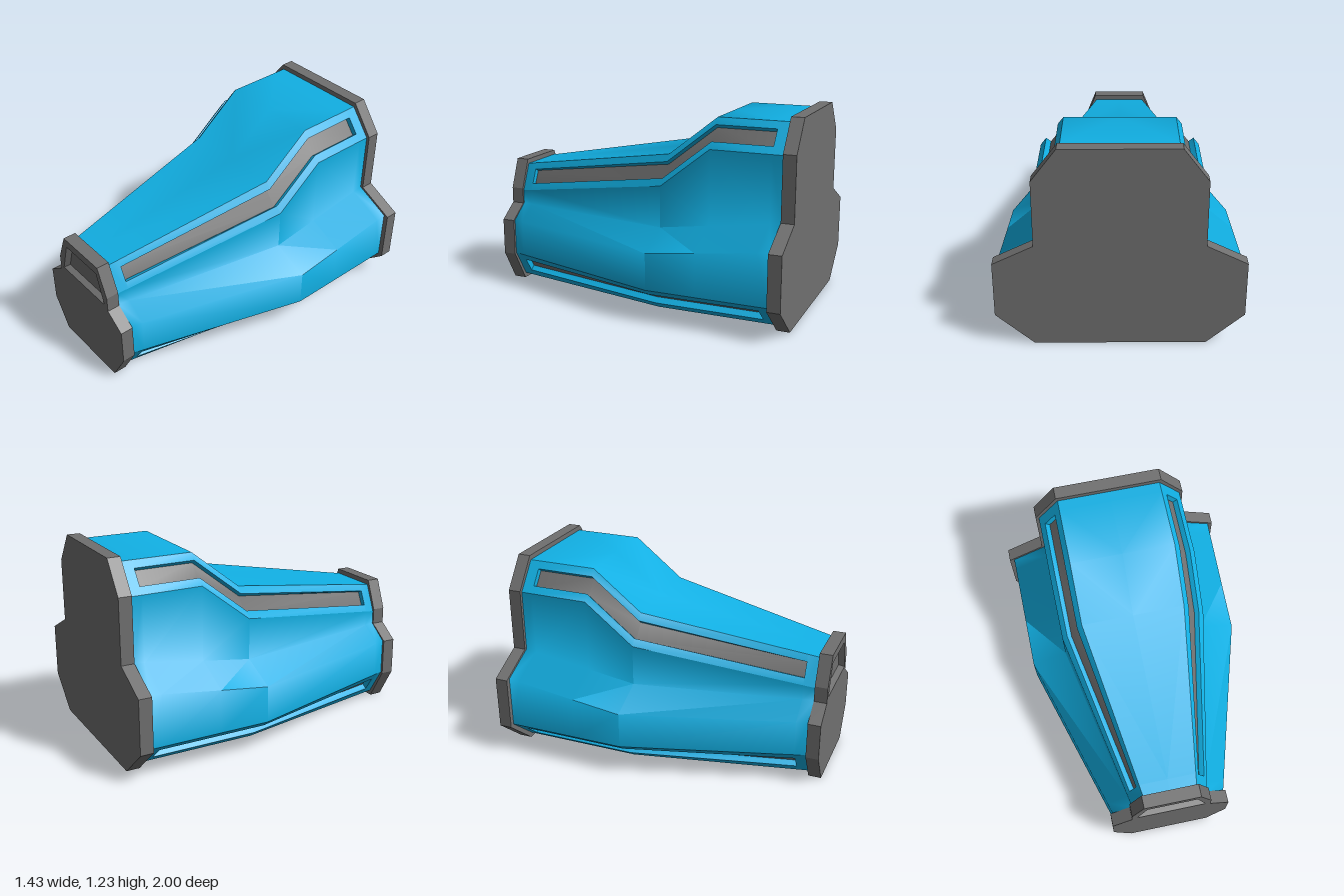
import * as THREE from 'three';
import { toCreasedNormals } from 'three/addons/utils/BufferGeometryUtils.js';

const blue = new THREE.MeshStandardMaterial({ color: 0x11b0e4 });
const grey = new THREE.MeshStandardMaterial({ color: 0x707070 });

// Half cross-sections from the top centre line round to the bottom centre line
const lower = (y2, y3) => [[0.46, y2], [0.685, y3], [0.685, 0.205], [0.48, 0.03], [0, 0.03]];
const upper = (top, side) => [[0, top], [0.325, top], [0.46, side]];
const keys = [
  { z: 0.92, p: [[0, 0.775], [0.165, 0.775], [0.24, 0.605], [0.24, 0.52], [0.36, 0.43], [0.36, 0.205], [0.25, 0.03], [0, 0.03]] },
  { z: -0.17, p: [...upper(0.955, 0.785), ...lower(0.53, 0.43)] },
  { z: -0.48, p: [...upper(1.2, 1.03), ...lower(0.575, 0.47)] },
  { z: -0.92, p: [...upper(1.2, 1.03), ...lower(0.64, 0.53)] },
];
const mix = (a, b, t) => [a[0] + (b[0] - a[0]) * t, a[1] + (b[1] - a[1]) * t];

function sectionAt(z) {
  let k = 0;
  while (k < keys.length - 2 && z < keys[k + 1].z) k++;
  const a = keys[k], b = keys[k + 1], t = (z - a.z) / (b.z - a.z);
  return a.p.map((p, i) => mix(p, b.p[i], t));
}

// Adds a quad and its mirror image
function quad(out, a, b, c, d) {
  out.push(...a, ...b, ...c, ...a, ...c, ...d);
  const m = ([x, y, z]) => [-x, y, z];
  out.push(...m(a), ...m(c), ...m(b), ...m(a), ...m(d), ...m(c));
}

function meshOf(name, positions, material, crease) {
  const g = new THREE.BufferGeometry();
  g.setAttribute('position', new THREE.Float32BufferAttribute(positions, 3));
  g.computeVertexNormals();
  const mesh = new THREE.Mesh(toCreasedNormals(g, crease), material);
  mesh.name = name;
  return mesh;
}

// Points across a chamfer: edge, groove lip, groove floor, groove lip, edge
function groovePoints(a, b, depth) {
  const dx = b[0] - a[0], dy = b[1] - a[1], l = Math.hypot(dx, dy);
  const sink = (p) => [p[0] + (dy / l) * depth, p[1] - (dx / l) * depth];
  const u = mix(a, b, 0.24), v = mix(a, b, 0.76);
  return [a, u, sink(u), sink(v), v, b];
}

function flange(name, half, z, hole) {
  const shape = new THREE.Shape([...half, ...half.map(([x, y]) => [-x, y]).reverse()].map((p) => new THREE.Vector2(...p)));
  if (hole) shape.holes.push(new THREE.Path(hole.map((p) => new THREE.Vector2(...p))));
  const g = new THREE.ExtrudeGeometry(shape, { depth: 0.08, bevelEnabled: false });
  g.translate(0, 0, z);
  const mesh = new THREE.Mesh(g, grey);
  mesh.name = name;
  return mesh;
}

export function createModel() {
  const group = new THREE.Group();
  const shell = [], sides = [], inserts = [];
  const stations = [0.92, 0.85, -0.17, -0.48, -0.85, -0.92];
  const grooved = { 1: 0.035, 5: 0.04 };

  for (let s = 0; s < stations.length - 1; s++) {
    const z0 = stations[s], z1 = stations[s + 1];
    const P = sectionAt(z0), Q = sectionAt(z1);
    const strip = (out, a, b, c, d) => quad(out, [...a, z0], [...b, z0], [...c, z1], [...d, z1]);
    for (let i = 0; i < 7; i++) {
      const open = grooved[i] && s > 0 && s < 4;
      if (!open) {
        strip(i >= 2 && i <= 4 ? sides : shell, P[i], P[i + 1], Q[i + 1], Q[i]);
        continue;
      }
      // Sunken groove with a grey floor
      const g = groovePoints(P[i], P[i + 1], grooved[i]);
      const h = groovePoints(Q[i], Q[i + 1], grooved[i]);
      for (let j = 0; j < 5; j++) strip(j === 2 ? inserts : shell, g[j], g[j + 1], h[j + 1], h[j]);
      // Groove end walls
      if (s === 1) quad(shell, ...[1, 4, 3, 2].map((j) => [...g[j], z0]));
      if (s === 3) quad(shell, ...[2, 3, 4, 1].map((j) => [...h[j], z1]));
    }
  }
  group.add(meshOf('shell', shell, blue, 0.69));
  group.add(meshOf('sidePanels', sides, blue, 1.15));
  group.add(meshOf('grooveInserts', inserts, grey, 0.69));

  // End flanges
  group.add(flange('backFlange', [[0.335, 1.23], [0.48, 1.04], [0.48, 0.645], [0.715, 0.53], [0.715, 0.195], [0.495, 0.003]], -1));
  const rim = [[-0.155, 0.75], [-0.217, 0.55], [0.217, 0.55], [0.155, 0.75]];
  const floor = [[-0.145, 0.737], [-0.198, 0.566], [0.198, 0.566], [0.145, 0.737]];
  group.add(flange('frontFlange', [[0.175, 0.805], [0.25, 0.62], [0.25, 0.52], [0.375, 0.43], [0.375, 0.2], [0.26, 0]], 0.92, rim));

  // Recessed window in the front flange: sloped walls and floor
  const zf = 0.965, win = [];
  const tri = (a, b, c) => win.push(...a, ...b, ...c);
  for (let i = 0; i < 4; i++) {
    const j = (i + 1) % 4;
    const a = [...rim[i], 1], b = [...rim[j], 1], c = [...floor[j], zf], d = [...floor[i], zf];
    tri(a, b, c);
    tri(a, c, d);
  }
  const f = floor.map((p) => [...p, zf]);
  tri(f[0], f[1], f[2]);
  tri(f[0], f[2], f[3]);
  group.add(meshOf('frontWindow', win, grey, 0.3));
  return group;
}
